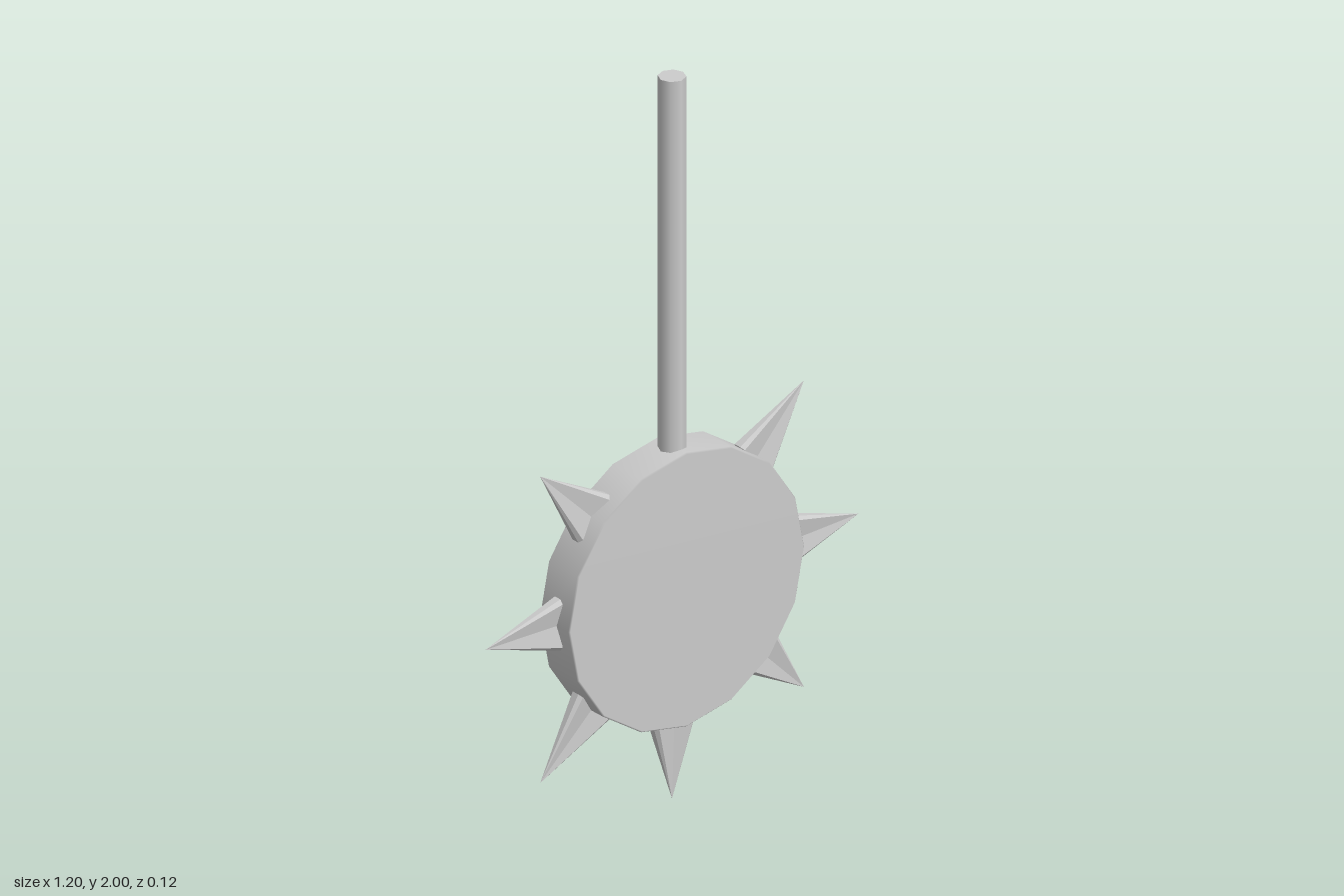
import * as THREE from 'three';

const CENTRE_Y = 0.6;

// Tapered spike along +y: a waisted section drawn to a point
function spikeGeometry(baseRadius, tipRadius) {
  const quarter = [[0.071, 0.011], [0.06, 0.02], [0, 0.01], [-0.06, 0.02], [-0.071, 0.011]];
  const ring = [...quarter, ...quarter.map(([x, z]) => [-x, -z])]
    .map(([x, z]) => [x, baseRadius, z]);
  const tip = [0, tipRadius, 0];
  const centre = [0, baseRadius, 0];
  const positions = [];
  ring.forEach((a, i) => {
    const b = ring[(i + 1) % ring.length];
    positions.push(...b, ...a, ...tip, ...a, ...b, ...centre);
  });
  const geometry = new THREE.BufferGeometry();
  geometry.setAttribute('position', new THREE.Float32BufferAttribute(positions, 3));
  geometry.computeVertexNormals();
  return geometry;
}

export function createModel() {
  const group = new THREE.Group();
  group.name = 'spikedDiscOnRod';
  const smooth = new THREE.MeshStandardMaterial({ color: 0xcccccc });
  const flat = new THREE.MeshStandardMaterial({ color: 0xcccccc, flatShading: true });

  // Sixteen-sided disc with a fine softened rim
  const r = 0.379, h = 0.059, bevel = 0.004;
  const profile = [[0, -h], [r - bevel, -h], [r, -h + bevel], [r, h - bevel], [r - bevel, h], [0, h]]
    .map(([x, y]) => new THREE.Vector2(x, y));
  const disc = new THREE.Mesh(new THREE.LatheGeometry(profile, 16), smooth);
  disc.name = 'disc';
  disc.rotation.x = Math.PI / 2;
  disc.position.y = CENTRE_Y;
  group.add(disc);

  // Rod rising from the top of the disc
  const rodBottom = 0.93, rodTop = 2;
  const rod = new THREE.Mesh(new THREE.CylinderGeometry(0.036, 0.036, rodTop - rodBottom, 8), smooth);
  rod.name = 'rod';
  rod.position.y = (rodBottom + rodTop) / 2;
  group.add(rod);

  // Spikes every 45 degrees, leaving the top free for the rod
  const spike = spikeGeometry(0.368, 0.6);
  for (let i = 1; i < 8; i++) {
    const mesh = new THREE.Mesh(spike, flat);
    mesh.name = 'spike' + i;
    mesh.rotation.z = (i * Math.PI) / 4;
    mesh.position.y = CENTRE_Y;
    group.add(mesh);
  }
  return group;
}
